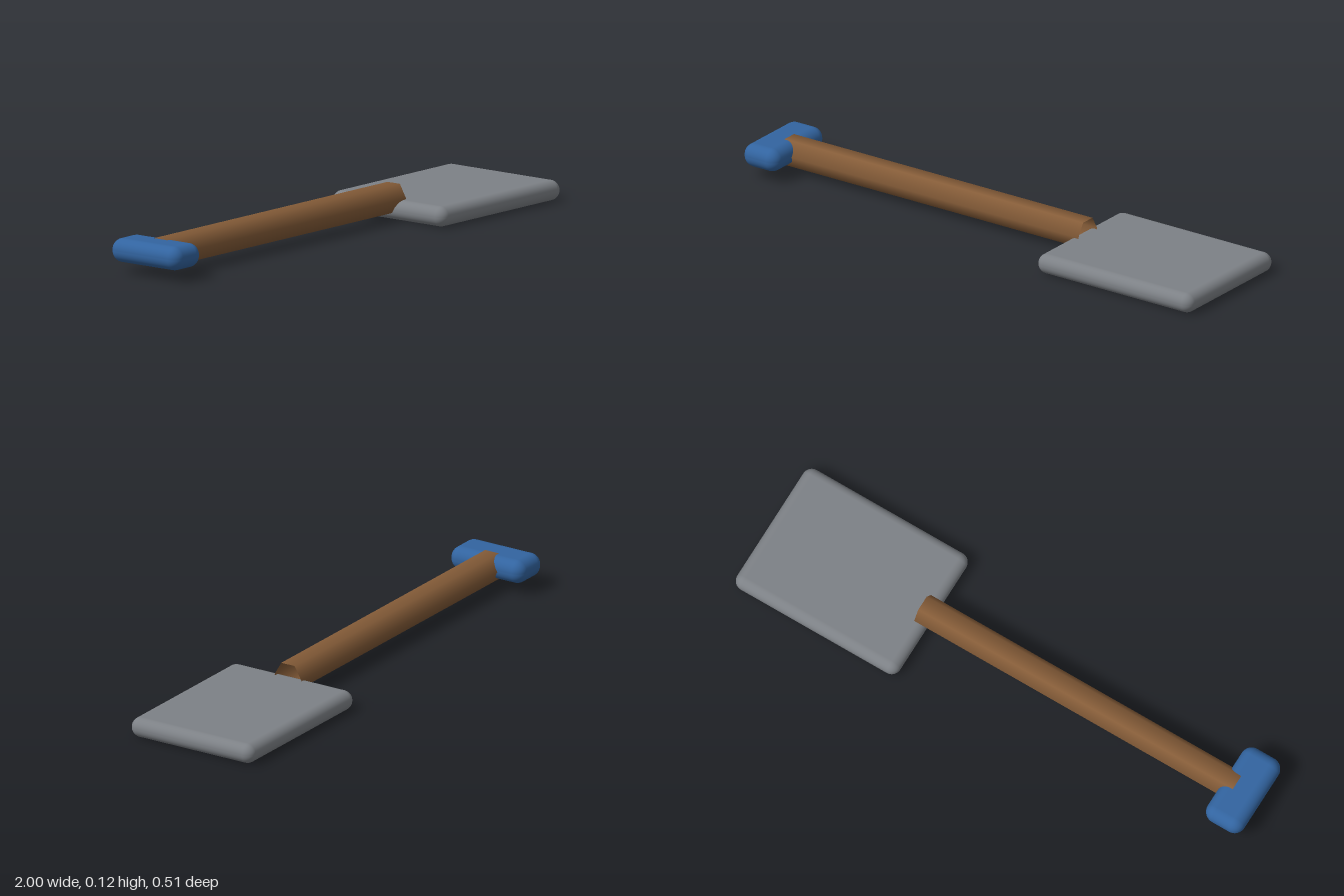
import * as THREE from 'three';
import { RoundedBoxGeometry } from 'three/addons/geometries/RoundedBoxGeometry.js';

function part(group, name, geometry, color, x, y, side = THREE.FrontSide) {
  const mesh = new THREE.Mesh(geometry, new THREE.MeshStandardMaterial({ color, side }));
  mesh.name = name;
  mesh.position.set(x, y, 0);
  group.add(mesh);
  return mesh;
}

export function createModel() {
  const shovel = new THREE.Group();
  shovel.name = 'shovel';

  // Flat blade with fully rounded rims
  part(shovel, 'blade', new RoundedBoxGeometry(0.664, 0.072, 0.512, 6, 0.035), 0x7d8186, 0.668, 0.036);

  // Six-sided hollow shaft, smooth shaded and open at the ends
  const shaftGeometry = new THREE.CylinderGeometry(0.056, 0.056, 1.28, 6, 1, true);
  shaftGeometry.rotateZ(-Math.PI / 2);
  part(shovel, 'shaft', shaftGeometry, 0x855c38, -0.26, 0.076, THREE.DoubleSide);

  // Rounded cross grip
  part(shovel, 'grip', new RoundedBoxGeometry(0.15, 0.085, 0.308, 6, 0.04), 0x3264a0, -0.925, 0.081);

  return shovel;
}
